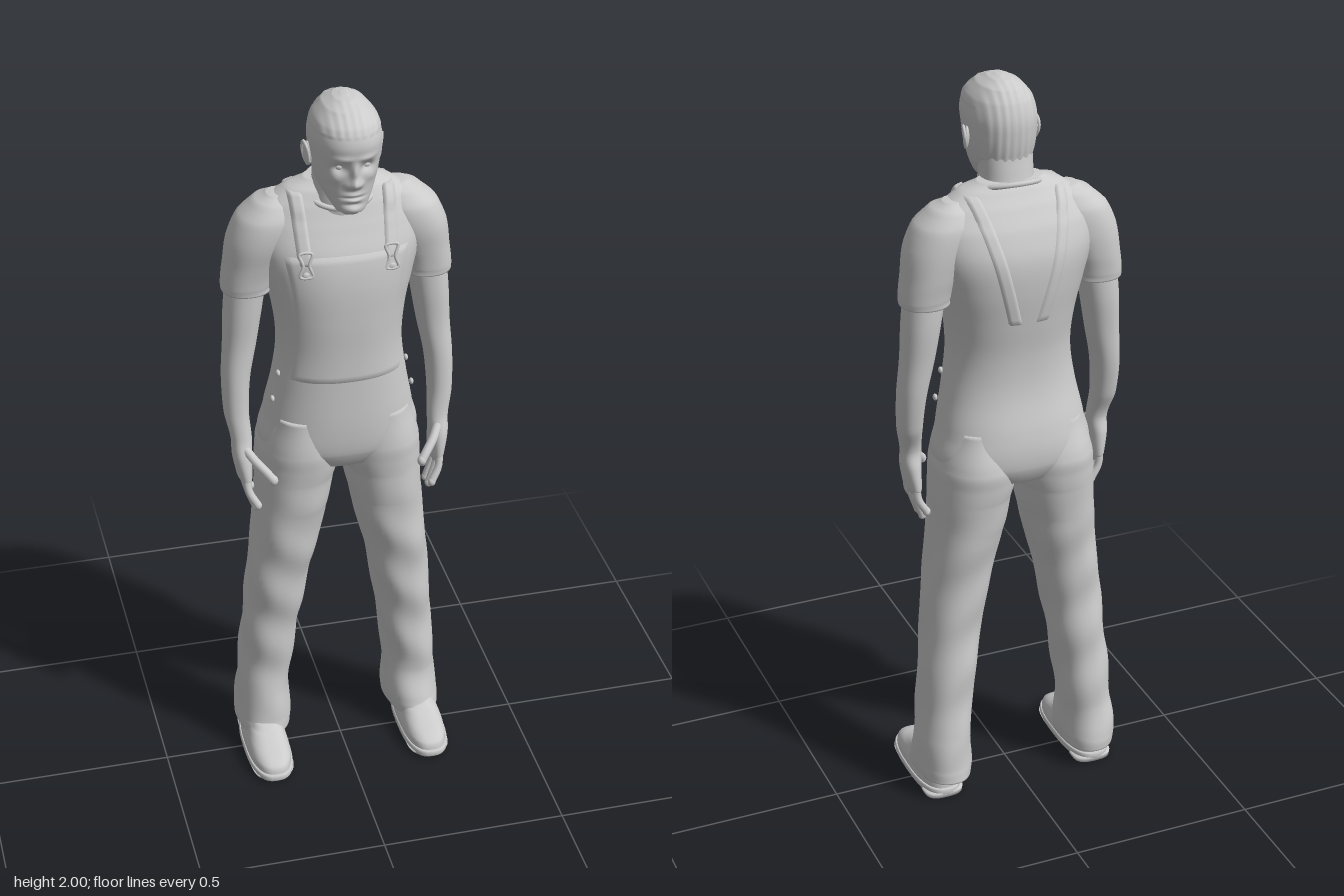
import * as THREE from 'three';

const material = new THREE.MeshStandardMaterial({ color: 0xcccccc, roughness: 0.8 });
const thin = new THREE.MeshStandardMaterial({ color: 0xcccccc, roughness: 0.8, side: THREE.DoubleSide });

// Smooth in-between rows of horizontal sections [y, xMin, xMax, zBack, zFront]
function blend(sections, steps) {
  const s = [...sections].sort((a, b) => a[0] - b[0]);
  const rows = [];
  for (let i = 0; i < s.length - 1; i++) {
    const a = s[Math.max(i - 1, 0)], b = s[i], c = s[i + 1], d = s[Math.min(i + 2, s.length - 1)];
    for (let k = 0; k < steps; k++) {
      const t = k / steps;
      rows.push(b.map((v, j) => j === 0 ? v + (c[0] - v) * t : v + 0.5 * t * (c[j] - a[j] +
        t * (2 * a[j] - 5 * v + 4 * c[j] - d[j] + t * (3 * (v - c[j]) + d[j] - a[j])))));
    }
  }
  rows.push(s[s.length - 1]);
  return rows;
}

// Closed body through the sections; power sets how square each ring is
function loft(sections, { power = 2.2, sides = 40, steps = 6, shape = null } = {}) {
  const rows = blend(sections, steps), pos = [], index = [], p = new THREE.Vector3();
  const put = (x, y, z) => { p.set(x, y, z); if (shape) shape(p); pos.push(p.x, p.y, p.z); };
  const round = v => Math.sign(v) * Math.abs(v) ** (2 / power);
  for (const [y, x0, x1, z0, z1] of rows) {
    for (let j = 0; j < sides; j++) {
      const a = j / sides * Math.PI * 2;
      put((x0 + x1) / 2 + (x1 - x0) / 2 * round(Math.cos(a)), y, (z0 + z1) / 2 + (z1 - z0) / 2 * round(Math.sin(a)));
    }
  }
  for (let i = 0; i < rows.length - 1; i++) for (let j = 0; j < sides; j++) {
    const a = i * sides + j, b = i * sides + (j + 1) % sides;
    index.push(a, a + sides, b, b, a + sides, b + sides);
  }
  const bottom = rows.length * sides, last = bottom - sides;
  for (const r of [rows[0], rows[rows.length - 1]]) put((r[1] + r[2]) / 2, r[0], (r[3] + r[4]) / 2);
  for (let j = 0; j < sides; j++) {
    const k = (j + 1) % sides;
    index.push(bottom, j, k, bottom + 1, last + k, last + j);
  }
  const g = new THREE.BufferGeometry();
  g.setAttribute('position', new THREE.Float32BufferAttribute(pos, 3));
  g.setIndex(index);
  g.computeVertexNormals();
  return g;
}

const mirror = (sections, s) => s > 0 ? sections : sections.map(([y, a, b, c, d]) => [y, -b, -a, c, d]);
const even = list => list.map(([y, w, z0, z1]) => [y, -w, w, z0, z1]);
const vec = a => new THREE.Vector3(...a);

const TORSO = even([
  [0.925, 0.06, -0.11, 0.03], [0.95, 0.14, -0.155, 0.075], [1.0, 0.21, -0.178, 0.1], [1.08, 0.198, -0.176, 0.108],
  [1.2, 0.175, -0.15, 0.108], [1.3, 0.163, -0.148, 0.108], [1.4, 0.172, -0.162, 0.112], [1.5, 0.195, -0.175, 0.112],
  [1.58, 0.215, -0.174, 0.1], [1.65, 0.215, -0.15, 0.07], [1.7, 0.185, -0.118, 0.048], [1.735, 0.135, -0.09, 0.03], [1.755, 0.085, -0.075, 0.01]]);
const LEG = [
  [1.1, 0.03, 0.185, -0.15, 0.09], [1.0, 0.005, 0.213, -0.178, 0.1], [0.95, 0.002, 0.22, -0.176, 0.096], [0.9, 0.014, 0.223, -0.17, 0.09],
  [0.8, 0.035, 0.228, -0.158, 0.084], [0.6, 0.08, 0.248, -0.14, 0.064], [0.4, 0.114, 0.265, -0.145, 0.042],
  [0.2, 0.138, 0.281, -0.156, 0.034], [0.1, 0.138, 0.288, -0.17, 0.052], [0.065, 0.142, 0.288, -0.172, 0.06]];
const SLEEVE = [
  [1.718, 0.13, 0.18, -0.065, -0.01], [1.7, 0.11, 0.215, -0.095, 0.02], [1.66, 0.1, 0.258, -0.117, 0.043],
  [1.6, 0.115, 0.284, -0.122, 0.046], [1.53, 0.15, 0.294, -0.118, 0.034], [1.475, 0.17, 0.301, -0.111, 0.026], [1.455, 0.172, 0.301, -0.108, 0.023]];
const ARM = [
  [1.52, 0.18, 0.285, -0.1, 0.015], [1.4, 0.197, 0.296, -0.1, 0.014], [1.3, 0.214, 0.301, -0.09, 0.01], [1.2, 0.234, 0.308, -0.08, 0.015],
  [1.1, 0.241, 0.306, -0.06, 0.02], [1.03, 0.238, 0.293, -0.033, 0.028], [0.98, 0.24, 0.291, -0.042, 0.044], [0.92, 0.242, 0.28, -0.046, 0.05], [0.9, 0.246, 0.27, -0.038, 0.042]];
const HEAD = even([
  [1.715, 0.022, 0.085, 0.125], [1.725, 0.038, 0.06, 0.136], [1.75, 0.055, 0.0, 0.139], [1.78, 0.071, -0.055, 0.14], [1.82, 0.081, -0.069, 0.145],
  [1.87, 0.087, -0.075, 0.154], [1.91, 0.088, -0.074, 0.16], [1.95, 0.077, -0.062, 0.146], [1.98, 0.053, -0.04, 0.112], [1.995, 0.027, -0.008, 0.075], [2.0, 0.008, 0.02, 0.045]]);
const NECK = even([[1.66, 0.09, -0.1, 0.055], [1.72, 0.074, -0.086, 0.062], [1.76, 0.069, -0.076, 0.06], [1.83, 0.068, -0.065, 0.055]]);
const SHOE = [
  [0.022, 0.163, 0.282, -0.126, 0.178], [0.045, 0.164, 0.281, -0.125, 0.172], [0.06, 0.168, 0.277, -0.121, 0.148],
  [0.075, 0.172, 0.272, -0.115, 0.105], [0.09, 0.175, 0.268, -0.112, 0.065], [0.13, 0.18, 0.265, -0.11, 0.02]];

// Brow, eye sockets, nose, mouth, chin and raised hair
function sculptFace(p) {
  const hill = (x, y, w, h) => Math.exp(-(((Math.abs(p.x) - x) / w) ** 2) - ((p.y - y) / h) ** 2);
  if (p.z > 0.06) {
    p.z += 0.022 * hill(0, 1.808, 0.013, 0.014) + 0.014 * hill(0, 1.838, 0.009, 0.024) + 0.007 * hill(0.016, 1.803, 0.008, 0.009)
      - 0.015 * hill(0.033, 1.85, 0.017, 0.013) + 0.005 * hill(0.03, 1.877, 0.028, 0.008) + 0.004 * hill(0.048, 1.82, 0.015, 0.014)
      + 0.006 * hill(0, 1.775, 0.02, 0.006) + 0.006 * hill(0, 1.76, 0.018, 0.006) - 0.005 * hill(0, 1.767, 0.025, 0.003)
      + 0.005 * hill(0, 1.733, 0.018, 0.01) - 0.004 * hill(0, 1.747, 0.022, 0.006);
  }
  if (p.y > 1.8 && (p.z < 0.0 || p.y > 1.93)) {
    const strands = 0.0012 * Math.sin(p.x * 330);
    p.x *= 1.02; p.z += Math.sign(p.z - 0.04) * (0.001 + strands);
  }
}

// Soft cloth folds around the knees and hems
function creaseTrousers(p) {
  const fade = THREE.MathUtils.smoothstep(0.95 - p.y, 0, 0.3);
  p.z += fade * 0.004 * Math.sin(p.y * 34 + p.x * 22);
  p.x += fade * 0.002 * Math.sin(p.y * 27 + p.z * 40);
}

// Height of the torso surface at x, y (side 1 is the front, -1 the back)
const torsoRows = blend(TORSO, 10);
function torsoZ(x, y, side) {
  const i = Math.max(1, torsoRows.findIndex(r => r[0] >= y)), a = torsoRows[i - 1], b = torsoRows[i];
  const t = (y - a[0]) / (b[0] - a[0]), [, , w, z0, z1] = a.map((v, j) => v + (b[j] - v) * t);
  return (z0 + z1) / 2 + side * (z1 - z0) / 2 * Math.max(0, 1 - Math.abs(x / w) ** 2.3) ** (1 / 2.3);
}

// Raised cloth laid on the torso; place(u, v) gives [x, y, side]
function patch(place, nu, nv, lift) {
  const g = new THREE.PlaneGeometry(1, 1, nu, nv), at = g.attributes.position;
  for (let i = 0; i < at.count; i++) {
    const u = at.getX(i) + 0.5, v = at.getY(i) + 0.5, [x, y, side] = place(u, v);
    const rim = u < 0.001 || u > 0.999 || v < 0.001 || v > 0.999 ? -0.003 : lift;
    at.setXYZ(i, x, y + (y > 1.68 ? rim : 0), torsoZ(x, y, side) + side * rim);
  }
  g.computeVertexNormals();
  return g;
}

export function createModel() {
  const model = new THREE.Group();
  const add = (name, geometry, parent = model, mat = material) => {
    const m = new THREE.Mesh(geometry, mat);
    m.name = name;
    parent.add(m);
    return m;
  };
  const ball = (name, at, scale, parent = model) => {
    const m = add(name, new THREE.SphereGeometry(1, 20, 14), parent);
    m.position.set(...at);
    m.scale.set(...scale);
    return m;
  };
  const tube = (name, points, r, parent, closed = false) =>
    add(name, new THREE.TubeGeometry(new THREE.CatmullRomCurve3(points.map(vec), closed), closed ? 48 : 16, r, 10, closed), parent);

  // Body and head
  add('torso', loft(TORSO, { power: 2.3, sides: 64 }));
  add('neck', loft(NECK));
  add('head', loft(HEAD, { power: 2.25, sides: 120, steps: 10, shape: sculptFace }));
  const collar = Array.from({ length: 16 }, (_, i) => {
    const a = i / 16 * Math.PI * 2, z = Math.sin(a);
    return [0.088 * Math.cos(a), 1.727 - 0.027 * z, -0.015 + 0.079 * z];
  });
  tube('collar', collar, 0.007, model, true);

  // Bib with armhole curves
  add('bib', patch((u, v) => {
    const w = 0.15 - 0.02 * Math.sin(v * Math.PI) + 0.015 * v;
    return [(u * 2 - 1) * w, 1.22 + v * 0.37, 1];
  }, 32, 32, 0.005), model, thin);

  for (const s of [1, -1]) {
    const side = s > 0 ? 'left' : 'right';
    const flip = ([x, y, z]) => [s * x, y, z];
    const part = name => side + name;

    // Trousers and shoes
    add(part('TrouserLeg'), loft(mirror(LEG, s), { sides: 48, steps: 10, shape: creaseTrousers }));
    const shoe = new THREE.Group();
    shoe.name = part('Shoe');
    model.add(shoe);
    add(part('ShoeUpper'), loft(mirror(SHOE, s), { power: 2.6 }), shoe);
    add(part('Sole'), loft(mirror([[0.008, 0.162, 0.284, -0.13, 0.182], [0.012, 0.16, 0.286, -0.132, 0.185], [0.024, 0.16, 0.286, -0.132, 0.185], [0.028, 0.163, 0.283, -0.129, 0.181]], s), { power: 2.7, steps: 2 }), shoe);
    add(part('Heel'), loft(mirror([[0, 0.17, 0.276, -0.13, -0.035], [0.015, 0.168, 0.278, -0.131, -0.035]], s), { power: 3, steps: 1 }), shoe);
    add(part('Tread'), loft(mirror([[0, 0.168, 0.278, 0.02, 0.165], [0.015, 0.163, 0.283, 0.01, 0.178]], s), { power: 2.6, steps: 1 }), shoe);

    // Arm, sleeve and hand
    add(part('Sleeve'), loft(mirror(SLEEVE, s)));
    add(part('Arm'), loft(mirror(ARM, s)));
    const hand = new THREE.Group();
    hand.name = part('Fingers');
    model.add(hand);
    const fingers = [[0.034, 0.058, 0.85], [0.012, 0.027, 0.828], [-0.012, -0.006, 0.826], [-0.033, -0.038, 0.852]];
    for (const [z, tipZ, tipY] of fingers) {
      const tip = flip([0.237, tipY, tipZ]);
      tube('finger', [[0.262, 0.94, z], [0.258, 0.89, (z + tipZ) / 2], [0.237, tipY, tipZ]].map(flip), 0.0105, hand);
      ball('fingertip', tip, [0.0105, 0.0125, 0.0105], hand);
    }
    tube('thumb', [[0.262, 1.01, 0.02], [0.24, 0.985, 0.053], [0.215, 0.96, 0.077], [0.2, 0.942, 0.088]].map(flip), 0.012, hand);
    ball('thumbTip', flip([0.2, 0.942, 0.088]), [0.012, 0.014, 0.012], hand);

    // Eye and ear
    ball(part('Eye'), flip([0.033, 1.85, 0.12]), [0.014, 0.011, 0.014]);
    const ear = ball(part('Ear'), flip([0.09, 1.847, 0.03]), [0.008, 0.031, 0.018]);
    ear.rotation.set(-0.15, -0.35 * s, 0);
    tube(part('EarRim'), [[0.088, 1.83, 0.043], [0.094, 1.868, 0.042], [0.099, 1.879, 0.026], [0.1, 1.855, 0.013], [0.094, 1.825, 0.024], [0.089, 1.818, 0.036]].map(flip), 0.004, model);

    // Strap from the bib over the shoulder, drawing in down the back
    add(part('FrontStrap'), patch((u, v) => [s * (0.11 + 0.01 * v + (u - 0.5) * 0.04), 1.56 + v * 0.175, 1], 6, 24, 0.006), model, thin);
    add(part('BackStrap'), patch((u, v) => [s * (0.035 + 0.085 * v + (u - 0.5) * 0.04), 1.4 + v * 0.335, -1], 6, 32, 0.004), model, thin);

    // Buckle and hip buttons
    const z = torsoZ(0.11, 1.57, 1) + 0.008;
    tube(part('Buckle'), [[0.094, 1.6, z - 0.004], [0.126, 1.6, z - 0.006], [0.118, 1.57, z], [0.126, 1.54, z + 0.001], [0.094, 1.54, z + 0.003], [0.102, 1.57, z]].map(flip), 0.004, model, true);
    ball(part('BibButton'), flip([0.11, 1.542, z]), [0.01, 0.01, 0.005]);
    for (const y of [1.225, 1.15]) ball(part('HipButton'), flip([y > 1.2 ? 0.17 : 0.186, y, 0.02]), [0.006, 0.009, 0.009]);
  }
  return model;
}
